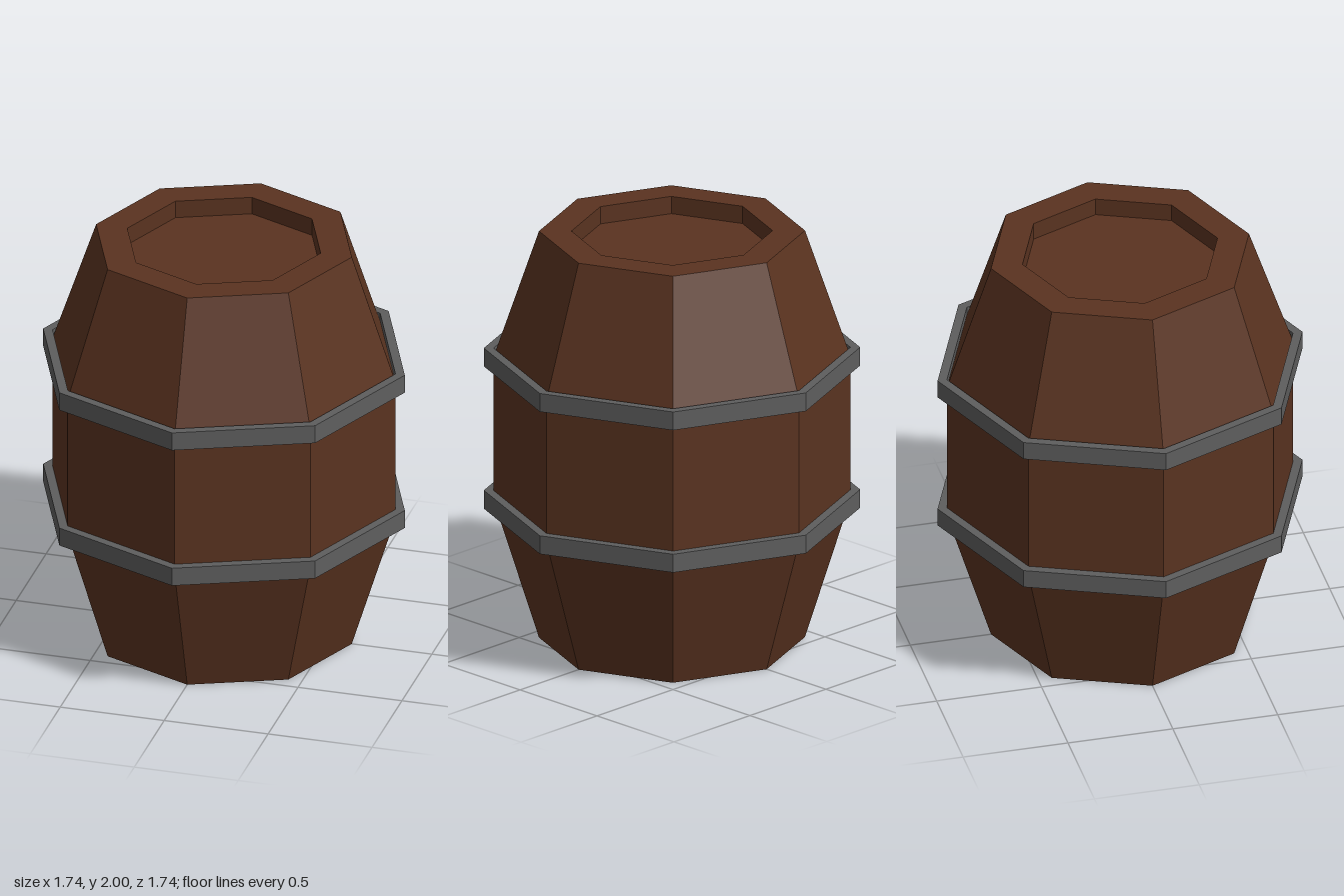
import * as THREE from 'three';

const SIDES = 8;
const wood = new THREE.MeshStandardMaterial({ color: 0x5a3320, flatShading: true });
const iron = new THREE.MeshStandardMaterial({ color: 0x5e5e5e, flatShading: true });

// Eight-sided turned part from [radius, height] pairs
function turned(name, profile, material) {
  const points = profile.map(([r, y]) => new THREE.Vector2(r, y));
  const mesh = new THREE.Mesh(new THREE.LatheGeometry(points, SIDES), material);
  mesh.name = name;
  return mesh;
}

export function createModel() {
  const barrel = new THREE.Group();
  barrel.name = 'barrel';

  // Bulging body with a closed base and a recessed lid
  barrel.add(turned('body', [
    [0, 0], [0.615, 0], [0.826, 0.68], [0.826, 1.38], [0.615, 2],
    [0.465, 2], [0.465, 1.915], [0, 1.915],
  ], wood));

  // Two iron hoops where the staves bend
  for (const [name, y] of [['lowerHoop', 0.68], ['upperHoop', 1.38]]) {
    const h = 0.045, inner = 0.825, outer = 0.87;
    const hoop = turned(name, [
      [inner, -h], [outer, -h], [outer, h], [inner, h], [inner, -h],
    ], iron);
    hoop.position.y = y;
    barrel.add(hoop);
  }

  return barrel;
}
